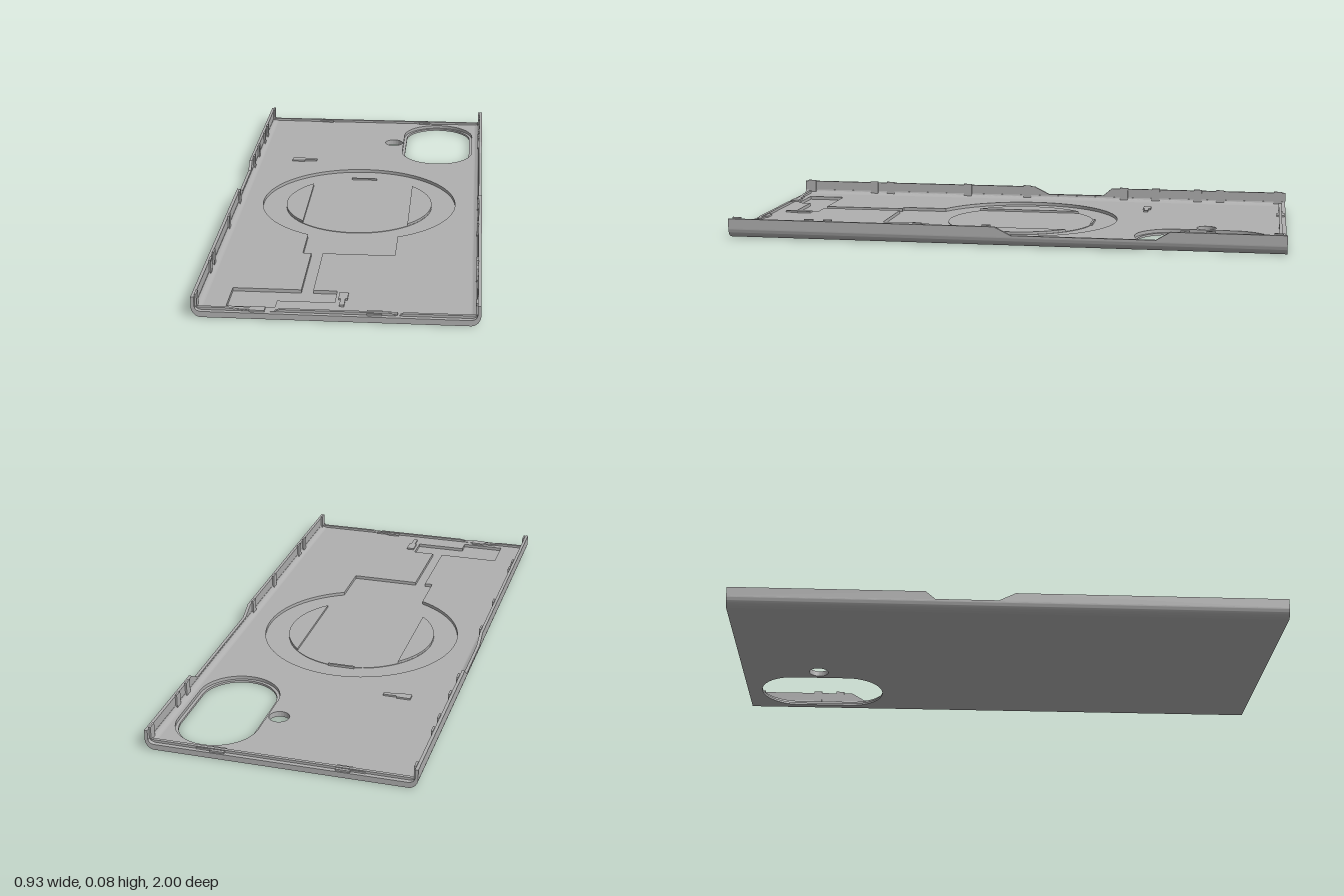
import * as THREE from 'three';
import { toCreasedNormals } from 'three/addons/utils/BufferGeometryUtils.js';

const FLOOR = 0.02, RECESS = 0.008, HALF_W = 0.467, PLATE_W = 0.435;

export function createModel() {
  const root = new THREE.Group();
  root.name = 'backShell';
  const grey = new THREE.MeshStandardMaterial({ color: 0xb0b0b0 });
  grey.name = 'shellGrey';

  const add = (name, geo) => {
    const mesh = new THREE.Mesh(geo, grey);
    mesh.name = name;
    root.add(mesh);
    return mesh;
  };
  const poly = pts => new THREE.Shape(pts.map(p => new THREE.Vector2(...p)));
  const extrude = (shape, depth) =>
    new THREE.ExtrudeGeometry(shape, { depth, bevelEnabled: false, curveSegments: 32 });
  // Plan outline (x, z) raised between two heights
  const slab = (name, shape, y0, y1) =>
    add(name, toCreasedNormals(extrude(shape, y1 - y0).rotateX(Math.PI / 2).translate(0, y1, 0), 0.5));
  const box = (name, x0, x1, y0, y1, z0, z1) =>
    add(name, new THREE.BoxGeometry(x1 - x0, y1 - y0, z1 - z0)
      .translate((x0 + x1) / 2, (y0 + y1) / 2, (z0 + z1) / 2));

  // Cutouts shared by both floor layers
  const lensHole = r => new THREE.Path()
    .absarc(0.28, -0.81, r, Math.PI, Math.PI * 2)
    .absarc(0.28, -0.605, r, 0, Math.PI)
    .closePath();
  const flashHole = () => new THREE.Path().absarc(0.094, -0.71, 0.036, 0, Math.PI * 2);
  const plate = () => poly([[-PLATE_W, -1], [PLATE_W, -1], [PLATE_W, 1], [-PLATE_W, 1]]);

  // Lower floor layer, which is also the bottom of the recess
  const base = plate();
  base.holes.push(lensHole(0.134), flashHole());
  slab('basePlate', base, 0, RECESS);

  // Upper floor layer with the coil, cable and connector recess cut out
  const recess = new THREE.Path();
  recess.absarc(0, 0, 0.367, Math.atan2(0.328, 0.165), Math.atan2(0.33, -0.16), true);
  [[-0.16, 0.5], [-0.13, 0.5], [-0.13, 0.81], [-0.36, 0.81], [-0.36, 0.95], [-0.2, 0.95],
    [-0.2, 0.9], [-0.01, 0.9], [-0.01, 0.81], [-0.09, 0.81], [-0.09, 0.5], [0.165, 0.5]]
    .forEach(p => recess.lineTo(...p));
  recess.closePath();
  const upper = plate();
  upper.holes.push(lensHole(0.145), flashHole(), recess);
  slab('floorLayer', upper, RECESS, FLOOR);

  // Coil seat: low disc, two raised side segments and a small rib
  const disc = new THREE.Shape().absarc(0, 0, 0.278, 0, Math.PI * 2);
  slab('coilSeat', disc, RECESS, 0.01);
  const a = Math.acos(0.195 / 0.278);
  for (const mid of [0, Math.PI])
    slab('coilSegment', new THREE.Shape().absarc(0, 0, 0.277, mid - a, mid + a).closePath(), RECESS, 0.018);
  box('coilRib', -0.05, 0.05, RECESS, 0.016, -0.28, -0.272);

  // Side rails with a rounded outer edge, walls and clips
  const clips = [0.97, 0.7, 0.63, 0.3, 0.05, -0.35, -0.48, -0.65, -0.74, -0.97];
  for (const side of [1, -1]) {
    const edge = new THREE.Shape();
    edge.moveTo(side * PLATE_W, 0);
    edge.bezierCurveTo(side * 0.452, 0, side * HALF_W, 0.017, side * HALF_W, 0.035);
    edge.lineTo(side * 0.455, 0.035);
    edge.quadraticCurveTo(side * 0.453, 0.022, side * PLATE_W, FLOOR);
    edge.closePath();
    add('sideRail', toCreasedNormals(extrude(edge, 2).translate(0, 0, -1), 0.5));

    // The wall dips where the side buttons sit
    const [n0, n1] = side > 0 ? [-0.55, -0.6] : [-0.265, -0.3];
    const wall = poly([[-1, 0.035], [1, 0.035], [1, 0.07], [0.02, 0.07],
      [-0.04, 0.04], [n0, 0.04], [n1, 0.07], [-1, 0.07]]);
    add('sideWall', extrude(wall, 0.011).rotateY(-Math.PI / 2)
      .translate(side > 0 ? HALF_W : -0.456, 0, 0));

    for (const z of clips) {
      if (z < 0.02 && z > n1 - 0.02) continue;
      const x = side * 0.4535;
      box('wallClip', x - 0.0035, x + 0.0035, 0.025, 0.075, z - 0.016, z + 0.016);
    }
  }

  // End lips: the front one dips around its two latches
  const lip = (name, pts, z) => add(name, extrude(poly(pts), 0.011).translate(0, 0, z));
  lip('frontLip', [[-0.45, 0.018], [0.45, 0.018], [0.45, 0.029], [0.22, 0.029], [0.205, 0.021],
    [0.195, 0.021], [0.18, 0.029], [-0.18, 0.029], [-0.2, 0.021], [-0.28, 0.021],
    [-0.36, 0.029], [-0.45, 0.029]], 0.974);
  lip('backLip', [[-0.45, 0.018], [0.45, 0.018], [0.45, 0.029], [-0.45, 0.029]], -0.985);

  // Small keyed latches: a wide head and a narrow tail
  const latches = [[-0.24, -0.98, 0], [0.24, -0.98, Math.PI], [-0.26, -0.46, Math.PI],
    [0.015, 0.88, Math.PI / 2], [-0.28, 0.975, 0], [0.15, 0.975, Math.PI]];
  const key = poly([[-0.05, -0.008], [0, -0.008], [0, -0.015], [0.05, -0.015],
    [0.05, 0.015], [0, 0.015], [0, 0.008], [-0.05, 0.008]]);
  for (const [x, z, turn] of latches) {
    const latch = slab('latch', key, FLOOR - 0.002, 0.026);
    latch.position.set(x, 0, z);
    latch.rotation.y = turn;
  }
  return root;
}
